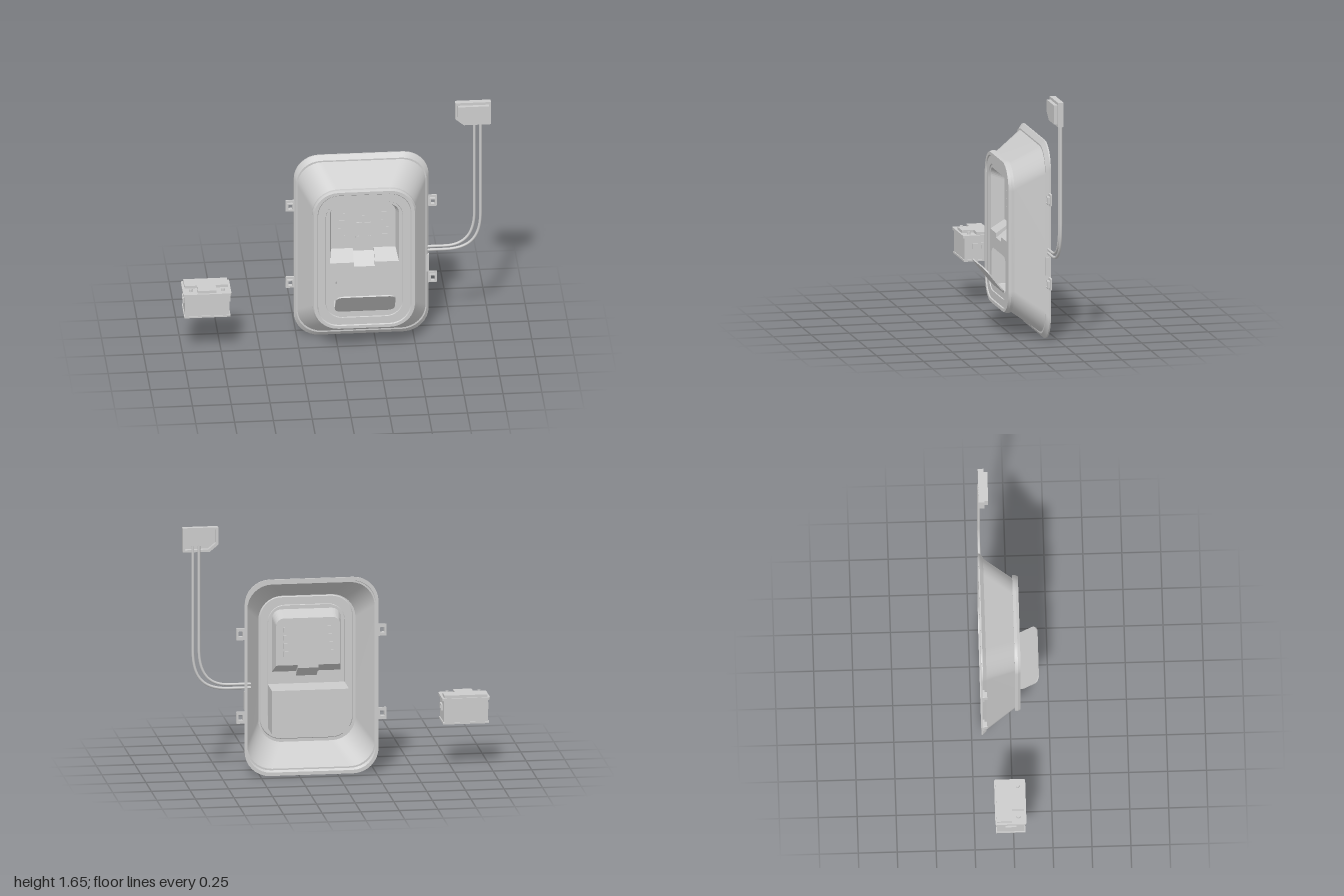
import * as THREE from 'three';
import { mergeGeometries } from 'three/addons/utils/BufferGeometryUtils.js';

const mat = new THREE.MeshStandardMaterial({ color: 0xcccccc, side: THREE.DoubleSide });
const CX = 0.167, CY = 0.648; // centre of the main housing

function add(parent, name, geo, x = 0, y = 0, z = 0) {
  const m = new THREE.Mesh(geo, mat);
  m.name = name;
  m.position.set(x, y, z);
  parent.add(m);
  return m;
}
// Box from its limits
function block(parent, name, x0, x1, y0, y1, z0, z1) {
  return add(parent, name, new THREE.BoxGeometry(x1 - x0, y1 - y0, z1 - z0),
    (x0 + x1) / 2, (y0 + y1) / 2, (z0 + z1) / 2);
}
function group(parent, name) {
  const g = new THREE.Group();
  g.name = name;
  parent.add(g);
  return g;
}
// Rounded rectangle as a counter-clockwise list of points; rt, rb = top and bottom radii
function roundRect(cx, cy, w, h, rt, rb = rt, n = 8) {
  const pts = [];
  [[1, 1, rt], [-1, 1, rt], [-1, -1, rb], [1, -1, rb]].forEach(([sx, sy, r], k) => {
    for (let i = 0; i <= n; i++) {
      const a = (k + i / n) * Math.PI / 2;
      pts.push(new THREE.Vector2(cx + sx * (w / 2 - r) + r * Math.cos(a), cy + sy * (h / 2 - r) + r * Math.sin(a)));
    }
  });
  return pts;
}
// Band between two loops of equal length
function band(a, za, b, zb, flat = false) {
  const n = a.length, pos = [], idx = [];
  a.forEach(p => pos.push(p.x, p.y, za));
  b.forEach(p => pos.push(p.x, p.y, zb));
  for (let i = 0; i < n; i++) {
    const j = (i + 1) % n;
    idx.push(i, j, n + j, i, n + j, n + i);
  }
  let g = new THREE.BufferGeometry();
  g.setAttribute('position', new THREE.Float32BufferAttribute(pos, 3));
  g.setIndex(idx);
  if (flat) g = g.toNonIndexed();
  g.computeVertexNormals();
  return g;
}
function extrude(pts, depth, holes = []) {
  const s = new THREE.Shape(pts);
  holes.forEach(h => s.holes.push(new THREE.Path(h)));
  return new THREE.ExtrudeGeometry(s, { depth, bevelEnabled: false });
}
// Display opening: rounded top, stepped notch in the lower edge
function recessLoop(x0, x1, top, bottom, notch, r) {
  const upper = roundRect((x0 + x1) / 2, (top + bottom) / 2, x1 - x0, top - bottom, r, 0.01).slice(0, 18);
  const rest = [[x0, bottom], [0.1, bottom], [0.1, notch], [0.235, notch], [0.235, bottom], [x1, bottom]];
  return upper.concat(rest.map(p => new THREE.Vector2(...p)));
}

function buildHousing(root) {
  const g = group(root, 'housing');
  // Width, height, corner radius, z from the rear lip to the front face
  const rings = [
    [0.83, 1.25, 0.15, -0.187], [0.868, 1.295, 0.165, -0.187], [0.868, 1.295, 0.165, -0.178],
    [0.838, 1.235, 0.16, -0.155], [0.825, 1.215, 0.16, -0.155], [0.63, 0.965, 0.155, 0.03],
    [0.67, 0.995, 0.17, 0.03], [0.67, 0.995, 0.17, 0.05], [0.65, 0.98, 0.16, 0.067],
    [0.605, 0.94, 0.14, 0.067], [0.595, 0.93, 0.135, 0.06], [0.5, 0.83, 0.11, 0.06], [0.494, 0.824, 0.107, 0.054],
  ].map(([w, h, r, z]) => [roundRect(CX, CY + 0.005 * (w < 0.7), w, h, r), z]);
  const bands = [];
  for (let i = 0; i + 1 < rings.length; i++) bands.push(band(rings[i][0], rings[i][1], rings[i + 1][0], rings[i + 1][1]));
  add(g, 'shell', mergeGeometries(bands));

  // Front face with the display and hatch openings
  const [edge, fz] = rings[rings.length - 1];
  const open = recessLoop(-0.055, 0.39, 1.04, 0.63, 0.6, 0.06);
  const hatch = roundRect(CX, 0.4025, 0.39, 0.235, 0.06, 0.04);
  const face = new THREE.Shape(edge);
  face.holes.push(new THREE.Path(open), new THREE.Path(hatch));
  add(g, 'frontFace', new THREE.ShapeGeometry(face), 0, 0, fz);

  // Display recess
  const back = recessLoop(-0.04, 0.375, 1.0, 0.69, 0.67, 0.05), bz = -0.035;
  add(g, 'displayRecessWalls', band(back, bz, open, fz, true));
  add(g, 'displayPanel', new THREE.ShapeGeometry(new THREE.Shape(back)), 0, 0, bz);
  for (const s of [-1, 1]) for (let i = 0; i < 4; i++)
    add(g, 'displayButton', new THREE.BoxGeometry(0.045, 0.036, 0.006), CX + s * 0.14, 0.925 - i * 0.053, bz);

  // Forked indicator on the display panel
  const f = group(g, 'indicator');
  block(f, 'stem', 0.159, 0.175, 0.87, 0.92, bz, bz + 0.008);
  block(f, 'crossbar', 0.12, 0.214, 0.862, 0.874, bz, bz + 0.008);
  for (const s of [-1, 1]) {
    const x = CX + s * 0.041;
    block(f, 'prong', x - 0.006, x + 0.006, 0.77, 0.865, bz, bz + 0.008);
    block(f, 'prongTip', x - 0.01, x + 0.01, 0.765, 0.777, bz, bz + 0.01);
  }

  // Storage cavity behind the hatch
  const cav = roundRect(CX, 0.405, 0.5, 0.29, 0.002, 0.002, 1);
  add(g, 'cavityWalls', band(cav, -0.145, cav, fz - 0.001, true));
  add(g, 'cavityBack', new THREE.ShapeGeometry(new THREE.Shape(cav)), 0, 0, -0.145);
  const hook = add(g, 'hook', new THREE.TorusGeometry(0.02, 0.005, 6, 12, Math.PI * 1.4), 0.0, 0.42, -0.12);
  hook.rotation.set(0, Math.PI / 2, 0);
  block(g, 'hookPost', -0.008, 0.008, 0.43, 0.48, -0.145, -0.125);

  // Open hatch lid, hinged along its lower edge
  const lid = add(g, 'hatchLid', extrude(roundRect(0, 0.105, 0.386, 0.21, 0.045), 0.009), CX, 0.288, 0.052);
  lid.rotation.x = 0.67;

  // Mounting clips on both sides
  for (const s of [-1, 1]) for (const y of [0.94, 0.39]) {
    const c = group(g, 'mountingClip'), x = CX + s * 0.459;
    add(c, 'clipFrame', extrude(roundRect(0, 0, 0.056, 0.078, 0.003, 0.003, 1), 0.012,
      [roundRect(0, 0, 0.028, 0.036, 0.002, 0.002, 1)]), x, y, -0.182);
    add(c, 'clipCollar', extrude(roundRect(0, 0, 0.04, 0.048, 0.003, 0.003, 1), 0.018,
      [roundRect(0, 0, 0.026, 0.034, 0.002, 0.002, 1)]), x, y, -0.17);
  }
  block(g, 'cablePort', 0.585, 0.602, 0.44, 0.56, -0.182, -0.152);
}

function buildCables(root) {
  const g = group(root, 'cables');
  for (const [x, y] of [[0.895, 0.61], [0.935, 0.585]]) {
    const path = new THREE.CurvePath();
    const v = (a, b) => new THREE.Vector3(a, b, -0.172);
    path.add(new THREE.LineCurve3(v(0.56, y), v(0.7, y)));
    path.add(new THREE.CubicBezierCurve3(v(0.7, y), v(x - 0.06, y), v(x, y + 0.08), v(x, 0.85)));
    path.add(new THREE.LineCurve3(v(x, 0.85), v(x, 1.53)));
    add(g, 'cable', new THREE.TubeGeometry(path, 60, 0.009, 10, false));
  }
}

function buildWallBox(root) {
  const g = group(root, 'wallBox');
  // Rectangle with its lower inner corner cut off
  const outline = (x0, x1, y0, y1, cx, cy) => [[x1, y0], [x1, y1], [x0, y1], [x0, y0 + cy], [x0 + cx, y0]]
    .map(p => new THREE.Vector2(...p));
  const outer = outline(0.77, 1, 1.49, 1.65, 0.055, 0.045);
  add(g, 'boxRim', extrude(outer, 0.03, [outline(0.785, 0.985, 1.505, 1.635, 0.05, 0.042)]), 0, 0, -0.175);
  add(g, 'boxFront', extrude(outer, 0.008), 0, 0, -0.146);
  add(g, 'boxCover', extrude(outline(0.785, 0.985, 1.508, 1.632, 0.06, 0.047), 0.024), 0, 0, -0.138);
}

function buildBattery(root) {
  const g = group(root, 'battery');
  block(g, 'batteryBody', -0.988, -0.702, 0.285, 0.445, -0.11, 0.068);
  block(g, 'batteryFoot', -0.994, -0.696, 0.285, 0.297, -0.115, 0.073);
  const top = add(g, 'batteryLid', extrude(roundRect(-0.845, 0.02, 0.31, 0.2, 0.012), 0.016), 0, 0.44, 0);
  top.rotation.x = -Math.PI / 2;
  block(g, 'batteryTop', -0.985, -0.705, 0.455, 0.474, -0.11, -0.012);
  block(g, 'batteryTopBridge', -0.905, -0.785, 0.455, 0.474, -0.015, 0.066);
  for (const s of [-1, 1]) {
    add(g, 'terminal', new THREE.CylinderGeometry(0.01, 0.012, 0.018, 16), -0.845 + s * 0.104, 0.464, 0.03);
    // Carrying handle: bar with two short legs
    const x = -0.845 + s * 0.147;
    block(g, 'handleBar', x - 0.007, x + 0.007, 0.392, 0.404, -0.055, 0.015);
    for (const z of [-0.055, 0.005]) block(g, 'handleLeg', x - 0.007, x + 0.007, 0.365, 0.395, z, z + 0.01);
  }
}

export function createModel() {
  const root = new THREE.Group();
  root.name = 'chargingStation';
  buildHousing(root);
  buildCables(root);
  buildWallBox(root);
  buildBattery(root);
  return root;
}
